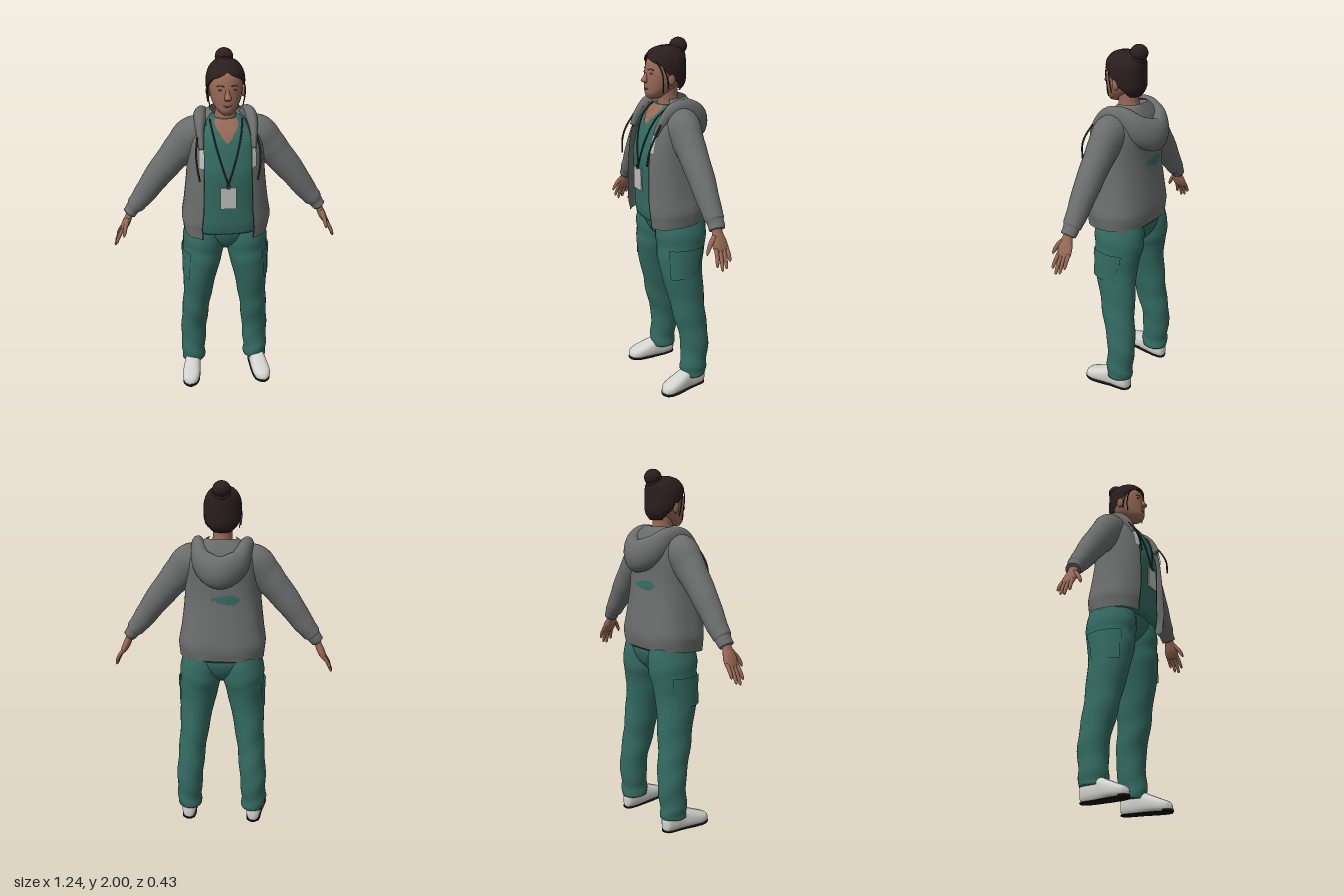
import * as THREE from 'three';

const V = (x, y, z) => new THREE.Vector3(x, y, z);
const Y = V(0, 1, 0), Z = V(0, 0, 1), DOWN = V(0, -1, 0), H = Math.PI / 2;

const material = (name, color, side = THREE.DoubleSide) => {
  const m = new THREE.MeshStandardMaterial({ color, side });
  m.name = name;
  return m;
};

// Smooth skin over cross-sections. Row: [x, y, z, radius a, radius b, arc value g].
function sweep(rows, { ref = Z, dir, seg = 28, steps = rows.length * 4, p = 1, arc, fold, floor } = {}) {
  const path = new THREE.CatmullRomCurve3(rows.map(r => V(r[0], r[1], r[2])));
  const size = new THREE.CatmullRomCurve3(rows.map(r => V(r[3], r[4], r[5] ?? 0)), false, 'catmullrom', 0.5);
  const pos = [], idx = [], n = arc ? seg + 1 : seg;
  const pow = v => Math.sign(v) * Math.abs(v) ** p;
  for (let i = 0; i <= steps; i++) {
    const k = i / steps, c = path.getPoint(k), s = size.getPoint(k);
    const T = dir ?? path.getTangent(k);
    const u = ref.clone().cross(T).normalize(), v = T.clone().cross(u).normalize();
    const [t0, t1] = arc ? arc(s.z) : [0, Math.PI * 2];
    for (let j = 0; j < n; j++) {
      const t = t0 + (t1 - t0) * j / seg, f = fold ? fold(k, t) : 1;
      const q = c.clone().addScaledVector(u, s.x * f * pow(Math.cos(t))).addScaledVector(v, s.y * f * pow(Math.sin(t)));
      if (floor !== undefined) q.y = Math.max(q.y, floor);
      pos.push(q.x, q.y, q.z);
    }
  }
  for (let i = 0; i < steps; i++) for (let j = 0; j < seg; j++) {
    const a = i * n + j, b = i * n + (j + 1) % n;
    idx.push(a, b, a + n, b, b + n, a + n);
  }
  if (!arc) for (const [row, i] of [[rows[0], 0], [rows.at(-1), steps]]) {
    const c = pos.length / 3;
    pos.push(row[0], Math.max(row[1], floor ?? -1), row[2]);
    for (let j = 0; j < n; j++) {
      const a = i * n + j, b = i * n + (j + 1) % n;
      i ? idx.push(c, a, b) : idx.push(c, b, a);
    }
  }
  const g = new THREE.BufferGeometry();
  g.setAttribute('position', new THREE.Float32BufferAttribute(pos, 3));
  g.setIndex(idx);
  g.computeVertexNormals();
  return g;
}

const tube = (pts, r) => new THREE.TubeGeometry(new THREE.CatmullRomCurve3(pts.map(q => V(...q))), 16, r, 6);
const grow = (rows, d) => rows.map(r => [r[0], r[1], r[2], r[3] + d, r[4] + d, r[5]]);
// Upright rows written as [y, a, z, b, g]
const upright = rows => rows.map(([y, a, z, b, g]) => [0, y, z, a, b, g]);

export function createModel() {
  const model = new THREE.Group();
  const skin = material('skin', 0x966955), hair = material('hair', 0x2b1e1e), grey = material('hoodieGrey', 0x6b6d6d);
  const green = material('scrubGreen', 0x336b61), white = material('shoeWhite', 0xd2d2ce), black = material('soleBlack', 0x151313);
  const light = material('lightGrey', 0xbcbcba), dark = material('darkTrim', 0x2c3333), lip = material('lip', 0x74483d);
  const add = (name, geo, mat, x = 0, y = 0, z = 0) => {
    const m = new THREE.Mesh(geo, mat);
    m.name = name;
    m.position.set(x, y, z);
    model.add(m);
    return m;
  };
  const ball = (name, mat, x, y, z, rx, ry, rz) => add(name, new THREE.SphereGeometry(1, 24, 16), mat, x, y, z).scale.set(rx, ry, rz);

  // Head, neck and face
  add('head', sweep(upright([
    [1.935, .03, .03, .04], [1.90, .076, .03, .086], [1.85, .086, .035, .097], [1.80, .083, .04, .097],
    [1.76, .073, .05, .088], [1.725, .053, .073, .064], [1.70, .027, .088, .035]]), { dir: DOWN }), skin);
  add('neck', sweep(upright([[1.78, .054, .015, .06], [1.70, .052, .008, .056], [1.65, .062, .002, .064], [1.60, .08, 0, .07]]), { dir: DOWN }), skin);
  add('nose', sweep([[0, 1.85, .122, .008, .008], [0, 1.815, .135, .012, .012], [0, 1.793, .146, .018, .016], [0, 1.78, .136, .012, .008]], { dir: DOWN, seg: 14 }), skin);
  add('mouth', tube([[-.03, 1.759, .122], [-.014, 1.751, .135], [0, 1.749, .139], [.014, 1.751, .135], [.03, 1.759, .122]], .0045), lip);

  // Hair cap open around the face, with a bun on top
  add('hairCap', sweep(upright([
    [1.965, .02, .02, .03, 0], [1.95, .06, .02, .075, 0], [1.92, .085, .02, .105, .02], [1.895, .095, .022, .112, .42],
    [1.87, .1, .021, .11, .95], [1.83, .1, .015, .103, 1.22], [1.79, .093, 0, .088, 1.5], [1.76, .077, -.01, .07, 1.75],
    [1.735, .05, -.015, .048, 1.9]]),
  { dir: DOWN, seg: 40, arc: g => [H + g, H + Math.PI * 2 - g], fold: (k, t) => 1 + .008 * Math.sin(t * 22) }), hair);
  ball('hairTop', hair, 0, 1.925, .02, .07, .04, .085);
  ball('bun', hair, 0, 1.957, -.055, .047, .044, .047);
  add('bunTwist', new THREE.TorusGeometry(.036, .014, 8, 24), hair, 0, 1.935, -.045).rotation.x = H - .5;

  for (const s of [1, -1]) {
    // Ears, eyes, brows and loose strands
    ball('ear', skin, s * .09, 1.802, .03, .012, .032, .02);
    ball('eye', lip, s * .033, 1.832, .123, .014, .004, .006);
    add('brow', tube([[s * .016, 1.849, .13], [s * .034, 1.855, .126], [s * .052, 1.849, .115]], .0025), lip);
    add('strand', tube([[s * .06, 1.895, .105], [s * .09, 1.85, .09], [s * .093, 1.79, .08], [s * .084, 1.735, .078]], .003), hair);
    add('strand', tube([[s * .07, 1.89, .085], [s * .096, 1.83, .065], [s * .097, 1.78, .055], [s * .093, 1.755, .052]], .003), hair);
  }

  // Scrub top with a V neck
  const shirt = upright([
    [1.665, .07, .004, .062, .75], [1.645, .105, .005, .08, .5], [1.61, .15, .01, .103, .2], [1.56, .18, .015, .127, .01], [1.47, .185, .02, .146],
    [1.40, .19, .02, .16], [1.30, .19, .02, .158], [1.2, .195, .015, .157], [1.1, .205, .01, .16], [1.04, .21, .005, .155]]);
  add('scrubTop', sweep(shirt, { dir: DOWN, p: .8, seg: 40 }), green);
  add('neckline', sweep(grow(shirt.slice(0, 4), .005), { dir: DOWN, p: .8, arc: g => [H - g, H + g] }), skin);

  // Badge on a lanyard
  for (const s of [1, -1])
    add('lanyard', tube([[s * .085, 1.66, .05], [s * .075, 1.61, .112], [s * .056, 1.53, .153], [s * .03, 1.44, .176], [0, 1.345, .186]], .004), dark);
  add('badge', new THREE.BoxGeometry(.084, .12, .008), light, 0, 1.27, .189);
  add('badgeClip', new THREE.BoxGeometry(.02, .022, .009), dark, 0, 1.335, .19);

  // Open hoodie body, hem lower in front; the last value is half the opening angle
  const body = upright([
    [1.70, .08, -.015, .07, .9], [1.67, .125, -.012, .09, .8], [1.63, .165, 0, .122, .68], [1.58, .193, .012, .147, .6],
    [1.52, .2, .022, .163, .57], [1.45, .205, .03, .168, .55], [1.35, .212, .032, .173, .53], [1.2, .23, .024, .183, .5],
    [1.12, .243, .018, .187, .5], [1.08, .24, .016, .184, .51], [1.035, .234, .018, .178, .52]]);
  const slant = V(0, -1, -.08).normalize();
  add('hoodieBody', sweep(body, {
    dir: slant, p: .8, seg: 56, arc: g => [H + g, H + Math.PI * 2 - g],
    fold: (k, t) => 1 + .012 * k * Math.sin(t * 7 + k * 9) }), grey);
  const edge = (s, w) => g => s > 0 ? [H - g - w, H - g + .005] : [H + g - .005, H + g + w];

  // Hood lying on the back, running forward into the collar
  const half = [
    [.135, 1.53, .15, .012, .018], [.138, 1.60, .105, .02, .03], [.134, 1.652, .04, .032, .042],
    [.124, 1.648, -.04, .04, .055], [.092, 1.588, -.118, .05, .075]];
  add('hood', sweep([...half, [0, 1.548, -.163, .057, .088],
    ...half.map(([x, ...r]) => [-x, ...r]).reverse()], { ref: Y, steps: 60 }), grey);

  const leg = s => [
    [s * .11, 1.06, -.01, .105, .135], [s * .118, .98, -.01, .118, .147], [s * .122, .90, -.01, .117, .142],
    [s * .135, .80, 0, .105, .13], [s * .158, .60, -.022, .086, .108], [s * .174, .45, -.042, .079, .096],
    [s * .186, .30, -.067, .077, .084], [s * .192, .16, -.06, .072, .08], [s * .192, .08, -.057, .07, .078]];
  add('hips', sweep(upright([[1.10, .2, -.01, .13], [1.03, .225, -.01, .14], [.98, .17, -.01, .128], [.94, .09, -.01, .105], [.90, .03, -.01, .06]]), { dir: DOWN }), green);

  for (const s of [1, -1]) {
    // Zip, fleece lining and drawstring on each front edge
    add('zip', sweep(grow(body, .003), { dir: slant, p: .8, seg: 4, arc: edge(s, .03) }), dark);
    add('lining', sweep(grow(body.slice(2, 6), .006), { dir: slant, p: .8, seg: 6, arc: edge(s, .14) }), light);
    add('drawstring', tube([[s * .155, 1.59, .13], [s * .165, 1.52, .175], [s * .162, 1.46, .2], [s * .15, 1.38, .21]], .005), dark);

    // Sleeve with ribbed cuff
    add('sleeve', sweep([
      [s * .09, 1.585, .005, .075, .075], [s * .165, 1.565, .008, .1, .09], [s * .225, 1.505, .01, .094, .08], [s * .28, 1.445, .01, .082, .074],
      [s * .37, 1.335, .01, .071, .067], [s * .45, 1.225, .01, .058, .056], [s * .495, 1.17, .01, .048, .05], [s * .503, 1.16, .01, .04, .045],
      [s * .528, 1.127, .012, .036, .042]],
    { steps: 56, fold: (k, t) => 1 + .022 * k * Math.sin(k * 44 + 2 * Math.sin(t)) }), grey);

    // Hand with four fingers and a thumb
    add('hand', sweep([[s * .515, 1.15, .012, .022, .028], [s * .532, 1.11, .015, .019, .03], [s * .55, 1.07, .015, .021, .042],
      [s * .568, 1.035, .012, .016, .041], [s * .576, 1.02, .012, .008, .034]], { seg: 18 }), skin);
    [[.606, .96], [.615, .937], [.612, .945], [.602, .975]].forEach(([x, y], i) => {
      const z0 = .042 - i * .02, z1 = .056 - i * .025;
      add('finger', sweep([[s * .565, 1.045, z0, .010, .011], [s * (.565 + x) / 2 + s * .006, (1.045 + y) / 2, (z0 + z1) / 2, .010, .0105],
        [s * x, y + .008, z1, .0075, .0075], [s * (x + .002), y, z1, .002, .002]], { seg: 10 }), skin);
    });
    add('thumb', sweep([[s * .54, 1.10, .035, .014, .014], [s * .552, 1.065, .066, .012, .012], [s * .56, 1.03, .085, .009, .009],
      [s * .563, 1.015, .09, .003, .003]], { seg: 10 }), skin);

    // Trouser leg with cargo pocket and flap
    const rows = leg(s);
    add('trouserLeg', sweep(rows, { dir: DOWN, steps: 64, seg: 32,
      fold: (k, t) => 1 + .04 * k * Math.sin(k * 42 + 2.2 * Math.sin(t + s)) }), green);
    const side = (a, b) => () => s > 0 ? [a, b] : [Math.PI - b, Math.PI - a];
    const [, , hipRow, thighRow] = rows;
    const at = y => hipRow.map((v, i) => v + (thighRow[i] - v) * (.90 - y) / .10);
    add('cargoPocket', sweep(grow([at(.89), at(.80), at(.73)], .006), { dir: DOWN, arc: side(-.55, .85) }), green);
    add('pocketFlap', sweep(grow([at(.90), at(.87), at(.85)], .009), { dir: DOWN, arc: side(-.6, .9) }), green);

    // Shoe, laces and thin sole, toes turned slightly out
    const shoe = [
      [s * .192, .045, -.13, .015, .03], [s * .194, .055, -.115, .036, .055], [s * .196, .062, -.07, .044, .068], [s * .2, .062, -.02, .046, .066],
      [s * .21, .050, .05, .052, .05], [s * .218, .038, .11, .051, .037], [s * .221, .032, .145, .036, .027], [s * .222, .025, .16, .012, .012]];
    add('shoe', sweep(shoe, { ref: Y, dir: Z, p: .8, floor: .006 }), white);
    for (let i = 0; i < 3; i++) {
      const z = .02 + i * .022, x = s * (.205 + i * .004), y = .108 - i * .009;
      add('lace', tube([[x - .024, y - .012, z], [x, y, z], [x + .024, y - .012, z]], .004), light);
    }
    add('sole', sweep(shoe.map(([x, , z, a]) => [x, .004, z, a * .97, .004]), { ref: Y, dir: Z, p: .6 }), black);
    add('toeCap', sweep([[s * .219, .012, .125, .043, .009], [s * .221, .012, .15, .034, .009], [s * .222, .012, .162, .014, .008]],
      { ref: Y, dir: Z, p: .7, floor: 0 }), black);
  }
  return model;
}
